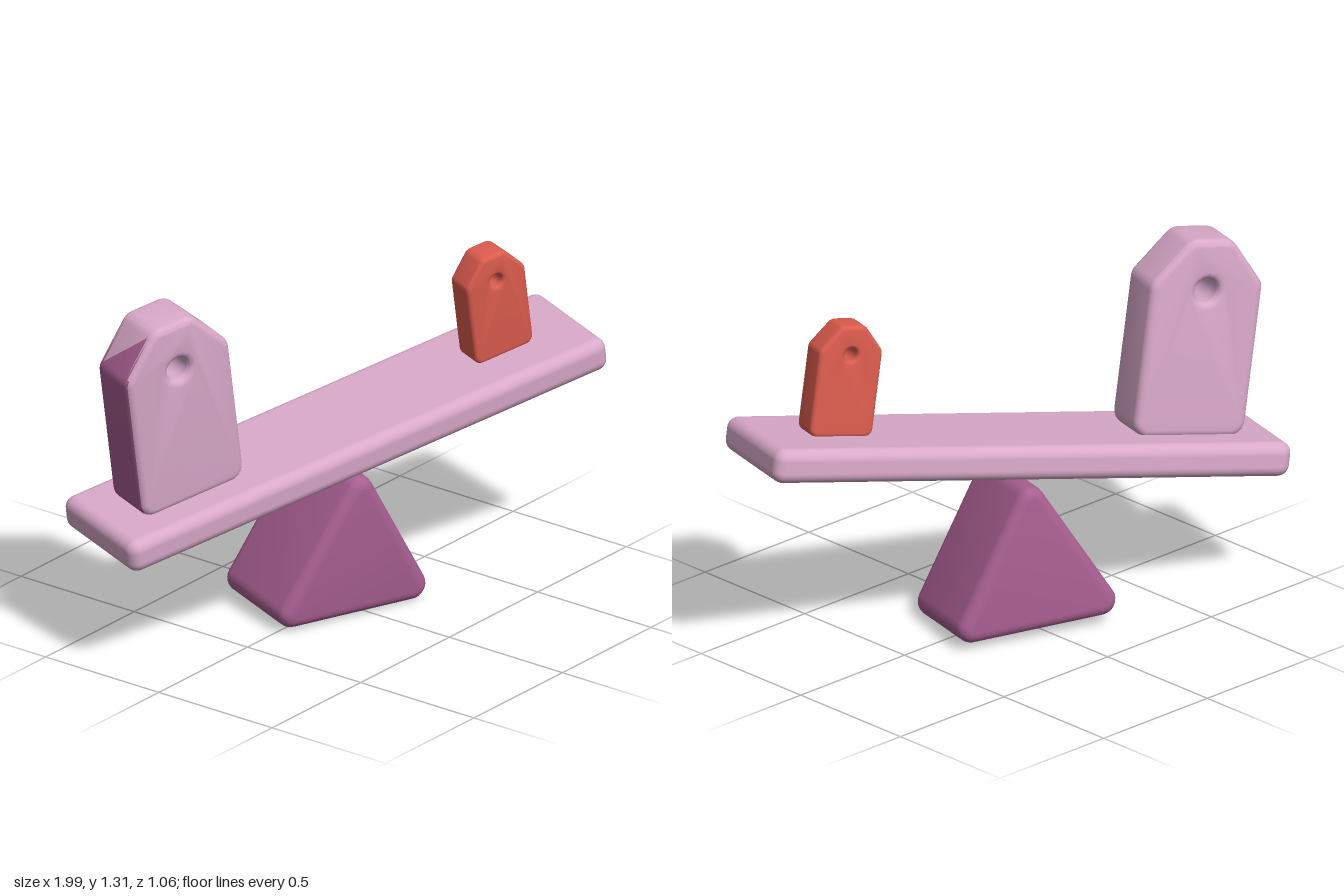
import * as THREE from 'three';
import { toCreasedNormals } from 'three/addons/utils/BufferGeometryUtils.js';
import { RoundedBoxGeometry } from 'three/addons/geometries/RoundedBoxGeometry.js';

const material = (name, color) => {
  const m = new THREE.MeshStandardMaterial({ color });
  m.name = name;
  return m;
};

// Polygon with true round corners of radius r
function roundedPolygon(points, r) {
  const shape = new THREE.Shape();
  const pts = points.map(([x, y]) => new THREE.Vector2(x, y));
  pts.forEach((p, i) => {
    const toPrev = pts.at(i - 1).clone().sub(p).normalize();
    const toNext = pts[(i + 1) % pts.length].clone().sub(p).normalize();
    const turn = Math.PI - Math.acos(toPrev.dot(toNext));
    const cut = r * Math.tan(turn / 2);
    const near = cut - r * (4 / 3) * Math.tan(turn / 4);
    const at = (dir, d) => p.clone().addScaledVector(dir, d);
    const a = at(toPrev, cut), b = at(toPrev, near), c = at(toNext, near), d = at(toNext, cut);
    if (i === 0) shape.moveTo(a.x, a.y);
    else shape.lineTo(a.x, a.y);
    shape.bezierCurveTo(b.x, b.y, c.x, c.y, d.x, d.y);
  });
  shape.closePath();
  return shape;
}

// Slab of the given total depth, centred on z, with rounded edges
function softExtrude(shape, depth, bevel) {
  const geo = new THREE.ExtrudeGeometry(shape, {
    depth: depth - 2 * bevel, bevelThickness: bevel, bevelSize: bevel,
    bevelOffset: -bevel, bevelSegments: 5, curveSegments: 8,
  });
  geo.translate(0, 0, bevel - depth / 2);
  return toCreasedNormals(geo, 0.6);
}

// Weight: slab with chamfered shoulders and a round hole
function weightGeometry() {
  const shape = roundedPolygon([
    [-0.215, 0], [0.215, 0], [0.215, 0.56], [0.08, 0.72], [-0.08, 0.72], [-0.215, 0.56],
  ], 0.06);
  const hole = new THREE.Path();
  hole.absarc(0, 0.535, 0.043, 0, Math.PI * 2, true);
  shape.holes.push(hole);
  return softExtrude(shape, 0.2, 0.027);
}

// Sort triangles into two groups: the -x outer side (material 1) and the rest (material 0)
function splitOuterSide(geo) {
  const p = geo.attributes.position, rest = [], side = [];
  const tri = new THREE.Triangle(), n = new THREE.Vector3();
  for (let i = 0; i < p.count; i += 3) {
    tri.setFromAttributeAndIndices(p, i, i + 1, i + 2);
    tri.getNormal(n);
    const outer = n.x < -0.75 && tri.a.x < -0.12;
    (outer ? side : rest).push(i, i + 1, i + 2);
  }
  geo.setIndex([...rest, ...side]);
  geo.clearGroups();
  geo.addGroup(0, rest.length, 0);
  geo.addGroup(rest.length, side.length, 1);
  return geo;
}

export function createModel() {
  const pink = material('pink', 0xd9a9c9);
  const plum = material('plum', 0xa85f91);
  const red = material('red', 0xdc5c4e);

  const model = new THREE.Group();
  model.name = 'balanceBoard';
  const add = (parent, name, geo, mat) => {
    const mesh = new THREE.Mesh(geo, mat);
    mesh.name = name;
    parent.add(mesh);
    return mesh;
  };

  // Whole assembly, turned and leaning slightly forward
  const assembly = new THREE.Group();
  assembly.name = 'assembly';
  assembly.position.y = 0.643;
  assembly.rotation.set(0.075, -0.325, 0);
  model.add(assembly);

  // Triangular support
  const triangle = roundedPolygon([[-0.345, 0], [0.345, 0], [0, 0.58]], 0.055);
  add(assembly, 'fulcrum', softExtrude(triangle, 0.39, 0.04), plum).position.y = -0.627;

  // Tilted plank carrying both weights
  const beam = new THREE.Group();
  beam.name = 'beam';
  beam.rotation.z = 0.19;
  assembly.add(beam);
  add(beam, 'plank', new RoundedBoxGeometry(2.0, 0.125, 0.45, 5, 0.042), pink);

  // Large weight with a plum outer side
  const large = add(beam, 'largeWeight', splitOuterSide(weightGeometry()), [pink, plum]);
  large.position.set(-0.65, 0.05, 0);

  // Small weight
  const small = add(beam, 'smallWeight', weightGeometry(), red);
  small.position.set(0.68, 0.055, 0);
  small.scale.setScalar(0.565);

  return model;
}
